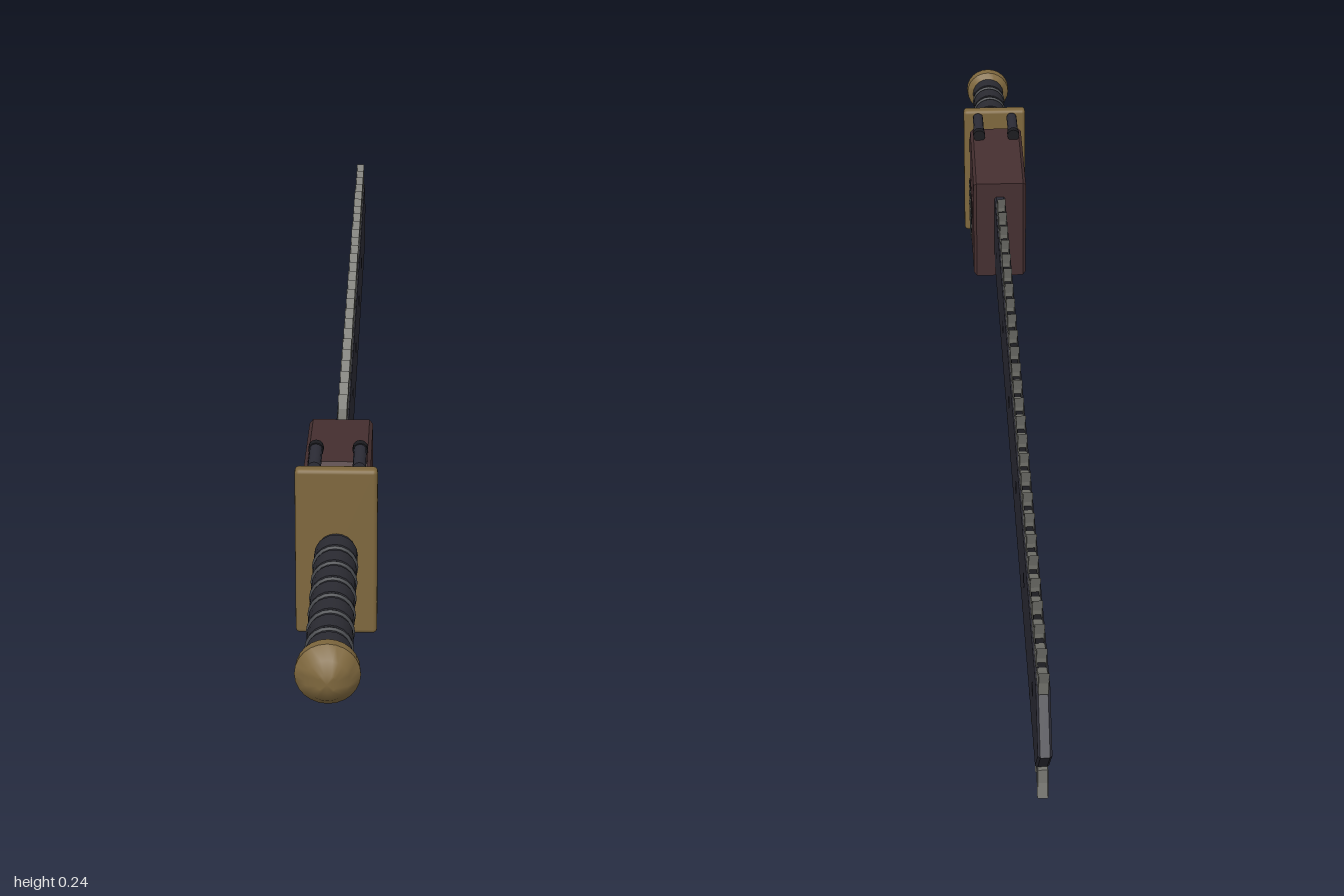
import * as THREE from 'three';
import { RoundedBoxGeometry } from 'three/addons/geometries/RoundedBoxGeometry.js';
import { mergeGeometries, toCreasedNormals } from 'three/addons/utils/BufferGeometryUtils.js';

const AXIS_Y = 0.122; // height of the sword's centre line

function material(name, color) {
  const m = new THREE.MeshStandardMaterial({ color });
  m.name = name;
  return m;
}

// Closed outline from [z, y] pairs
function outline(points) {
  return new THREE.Shape(points.map(([z, y]) => new THREE.Vector2(z, y)));
}

// Extrude a z/y outline symmetrically across x
function extrudeAcross(shape, width, bevel = 0) {
  const depth = width - 2 * bevel;
  const geo = new THREE.ExtrudeGeometry(shape, {
    depth, bevelEnabled: bevel > 0, bevelThickness: bevel, bevelSize: bevel,
    bevelOffset: -bevel, bevelSegments: 1, curveSegments: 10,
  });
  return geo.translate(0, 0, -depth / 2).rotateY(-Math.PI / 2);
}

export function createModel() {
  const group = new THREE.Group();
  group.name = 'chainsawSword';
  const brass = material('brass', 0x7f683e);
  const maroon = material('maroon casing', 0x452f30);
  const steel = material('dark steel', 0x2c2c36);
  const leather = material('grip leather', 0x2b2b32);
  const grey = material('bare metal', 0x74746e);
  const ringGrey = material('ring metal', 0x46484c);
  const black = material('black', 0x1c1c20);

  function add(name, geo, mat, x = 0, y = 0, z = 0) {
    const mesh = new THREE.Mesh(geo, mat);
    mesh.name = name;
    mesh.position.set(x, y, z);
    group.add(mesh);
    return mesh;
  }

  // Blade with six round holes and a pointed tip
  const blade = outline([[0.4, 0.058], [0.4, 0.188], [-0.943, 0.188], [-1, AXIS_Y], [-0.943, 0.058]]);
  for (let i = 0; i < 6; i++) {
    const hole = new THREE.Path();
    hole.absarc(0.273 - i * 0.2283, AXIS_Y + 0.001, 0.008, 0, Math.PI * 2, true);
    blade.holes.push(hole);
  }
  add('blade', extrudeAcross(blade, 0.018, 0.003), steel);

  // Chain rails and hooked teeth on both edges, all leaning to the tip
  const rail = new THREE.BoxGeometry(0.01, 0.012, 1.29);
  const tooth = extrudeAcross(outline([
    [0.02, -0.005], [0.02, 0.008], [0.008, 0.012], [-0.006, 0.018],
    [-0.024, 0.034], [-0.018, 0.014], [-0.016, -0.005],
  ]), 0.014, 0.001);
  for (const side of [1, -1]) {
    add(side > 0 ? 'upperRail' : 'lowerRail', rail, black, 0, AXIS_Y + 0.001 + side * 0.066, -0.295);
    const teeth = [];
    for (let i = 0; i < 27; i++) {
      const t = tooth.clone();
      if (side < 0) t.rotateZ(Math.PI);
      teeth.push(t.translate(0, AXIS_Y + 0.001 + side * 0.065, 0.323 - i * 0.0485));
    }
    add(side > 0 ? 'upperTeeth' : 'lowerTeeth', mergeGeometries(teeth), grey);
  }

  // Engine casing
  add('casing', extrudeAcross(outline([
    [0.375, 0.035], [0.375, 0.213], [0.565, 0.227], [0.612, 0.19], [0.612, 0.062], [0.573, 0.024],
  ]), 0.09, 0.005), maroon);

  // Side vents
  for (const side of [1, -1]) {
    add('ventPanel', new THREE.BoxGeometry(0.003, 0.084, 0.108), maroon, side * 0.045, 0.105, 0.493);
    for (let i = 0; i < 4; i++) {
      add('ventSlot', new THREE.BoxGeometry(0.004, 0.013, 0.1), black, side * 0.0455, 0.075 + i * 0.02, 0.493);
      add('ventSlat', new THREE.BoxGeometry(0.006, 0.007, 0.096), grey, side * 0.0455, 0.075 + i * 0.02, 0.493);
    }
  }

  // Twin exhaust pipes on top
  for (const side of [1, -1]) {
    const pipe = new THREE.CylinderGeometry(0.009, 0.009, 0.075, 12).rotateX(Math.PI / 2);
    add('exhaustPipe', pipe, steel, side * 0.03, 0.232, 0.563);
    const collar = new THREE.CylinderGeometry(0.0105, 0.0105, 0.012, 12).rotateX(Math.PI / 2);
    add('exhaustCollar', collar, black, side * 0.03, 0.232, 0.531);
  }

  // Guard plate
  add('guard', new RoundedBoxGeometry(0.11, 0.239, 0.02, 2, 0.006), brass, 0, 0.1215, 0.619);

  // Grip with raised rings
  add('grip', new THREE.CylinderGeometry(0.027, 0.027, 0.33, 20).rotateX(Math.PI / 2), leather, 0, AXIS_Y + 0.001, 0.79);
  for (let i = 0; i < 7; i++) {
    const z = 0.652 + i * 0.047;
    add('gripWrap', new THREE.CylinderGeometry(0.029, 0.029, 0.03, 20).rotateX(Math.PI / 2), leather, 0, AXIS_Y + 0.001, z);
    add('gripRing', new THREE.TorusGeometry(0.0275, 0.003, 6, 20), ringGrey, 0, AXIS_Y + 0.001, z + 0.0225);
  }

  // Trigger
  add('trigger', new THREE.BoxGeometry(0.016, 0.05, 0.018), grey, 0, 0.07, 0.663);

  // Pommel
  const profile = [[0, 0.945], [0.027, 0.945], [0.039, 0.957], [0.04, 0.972], [0.027, 0.989], [0.012, 0.998], [0, 1]]
    .map(([r, z]) => new THREE.Vector2(r, z));
  const pommel = new THREE.LatheGeometry(profile, 24).rotateX(Math.PI / 2);
  add('pommel', toCreasedNormals(pommel, 0.6), brass, 0, AXIS_Y, 0);

  return group;
}
